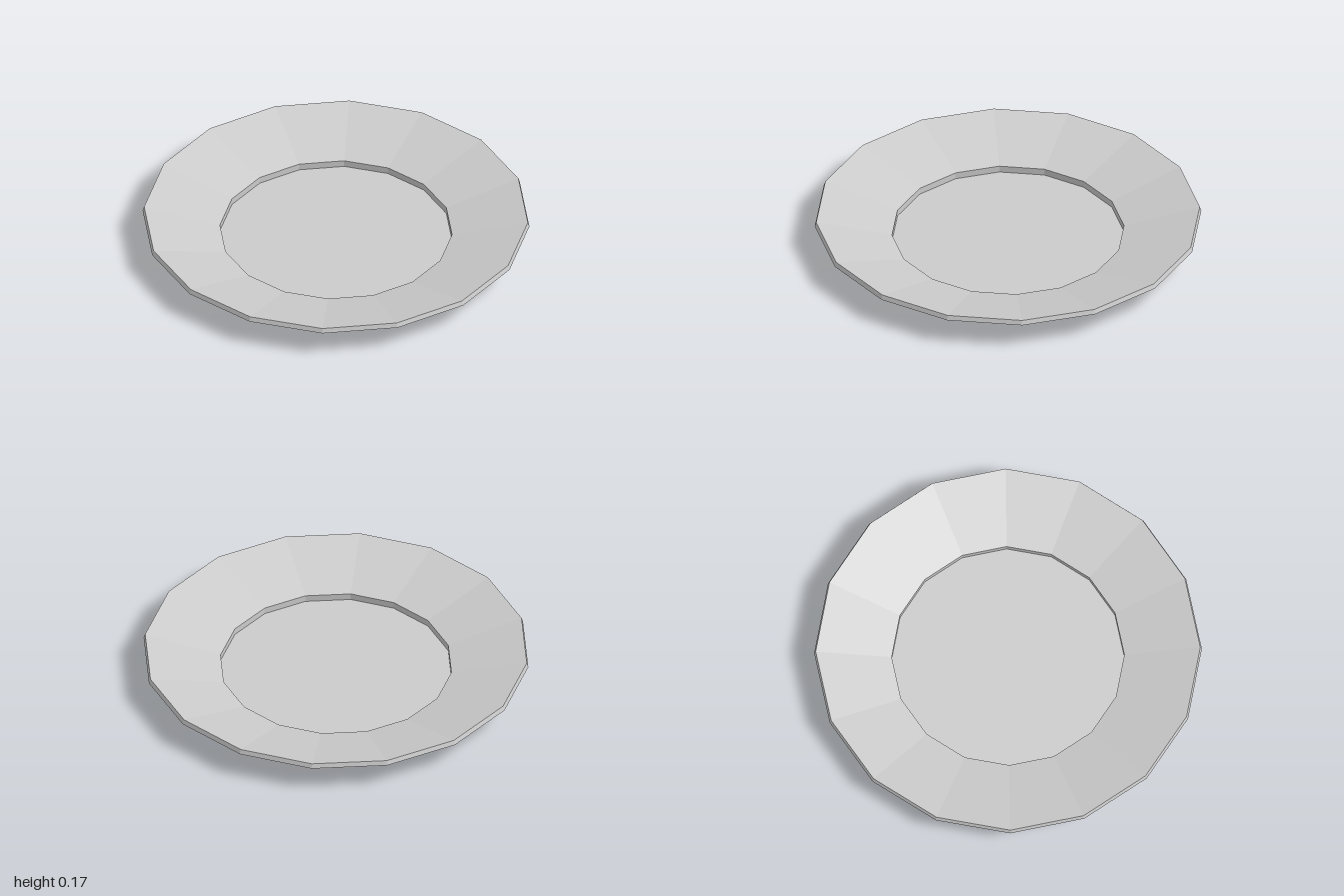
import * as THREE from 'three';

const SIDES = 16;

export function createModel() {
  const plate = new THREE.Group();
  plate.name = 'plate';
  const material = new THREE.MeshStandardMaterial({ color: 0xcccccc, flatShading: true });

  const add = (name, geometry, y = 0) => {
    const mesh = new THREE.Mesh(geometry, material);
    mesh.name = name;
    mesh.position.y = y;
    plate.add(mesh);
  };

  // Flat disc: the foot below, its top is the floor of the plate
  const footHeight = 0.035;
  add('base', new THREE.CylinderGeometry(0.62, 0.62, footHeight, SIDES), footHeight / 2);

  // Sloping ring: underside, rim edge, upper face, inner step
  const profile = [
    [0.6, 0.035], [1, 0.143], [0.992, 0.168], [0.6, 0.071], [0.6, 0.035],
  ].map(([r, y]) => new THREE.Vector2(r, y));
  add('rim', new THREE.LatheGeometry(profile, SIDES));

  return plate;
}
